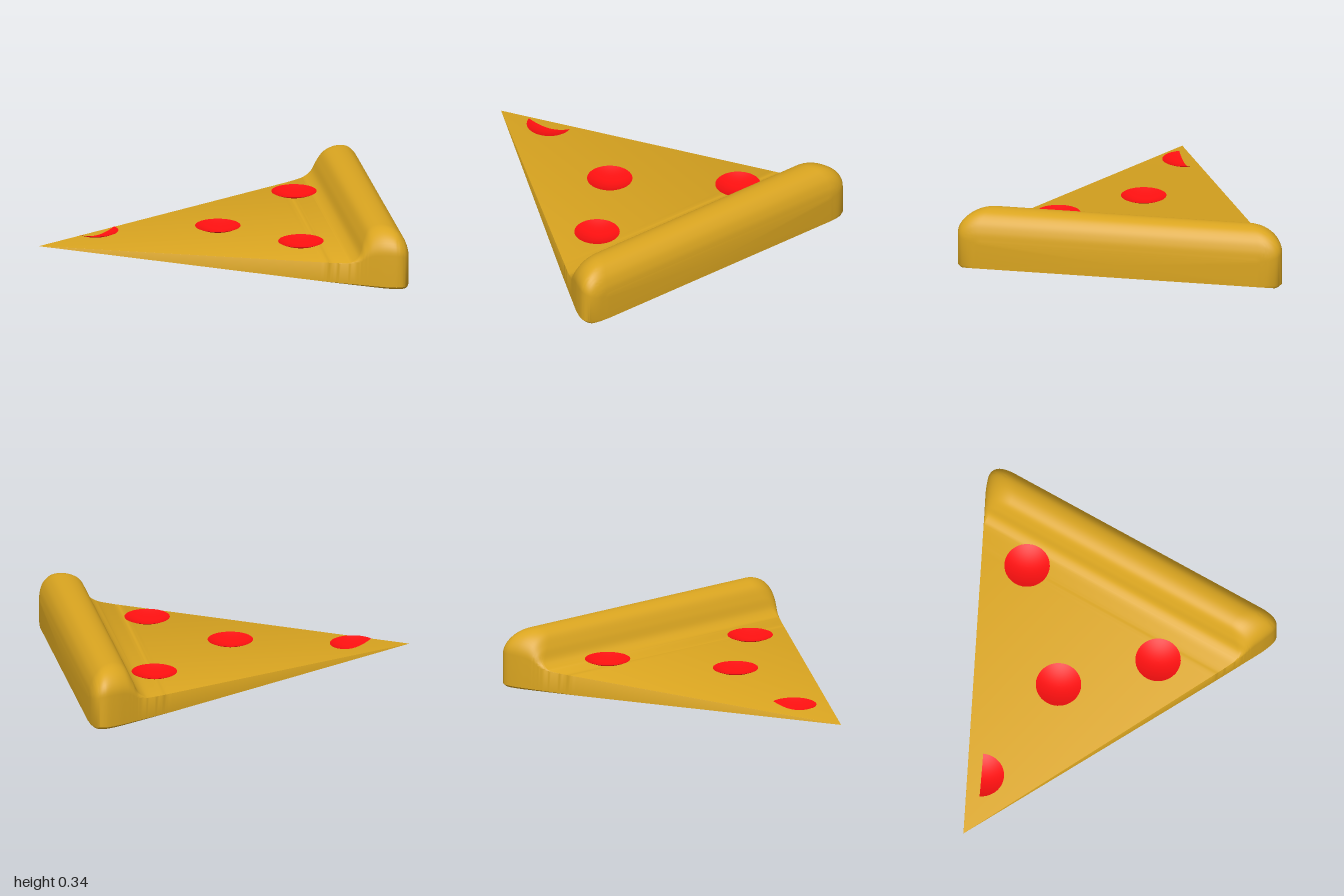
import * as THREE from 'three';
import { toCreasedNormals } from 'three/addons/utils/BufferGeometryUtils.js';

const topY = (x) => 0.075 + 0.0375 * (x + 1); // flat wedge top
const bottomY = (x) => 0.075 - 0.0375 * (x + 1) + Math.max(0, x - 0.97) * 0.4;

// Cross-section at x: small bevel below, elliptical corners above
function section({ x, y: top, z: w }) {
  const b = bottomY(x), bevel = 0.015 * THREE.MathUtils.clamp((x - 0.5) / 0.5, 0, 1);
  const ry = 0.7 * Math.max(0, top - topY(x)), rz = 1.3 * ry;
  const half = [[w - bevel, b], [w, b + bevel]];
  const n = 12;
  for (let k = 0; k <= n; k++) {
    const a = (k / n) * Math.PI / 2;
    half.push([w - rz + rz * Math.cos(a), top - ry + ry * Math.sin(a)]);
  }
  const right = half.map(([z, y]) => [x, y, -z]);
  const left = half.map(([z, y]) => [x, y, z]).reverse();
  return [...right, ...left];
}

function sliceGeometry() {
  // Stations: x, top height, half width
  const stations = [
    [0.5, topY(0.5), 0.75], [0.6, 0.136, 0.8], [0.67, 0.147, 0.835], [0.715, 0.18, 0.857],
    [0.745, 0.25, 0.872], [0.785, 0.315, 0.892], [0.85, 0.34, 0.922], [0.92, 0.327, 0.942],
    [0.965, 0.285, 0.928], [0.99, 0.23, 0.885], [1, 0.17, 0.81],
  ].map((p) => new THREE.Vector3(...p));
  const path = [new THREE.Vector3(-1, 0.076, 0.001), ...new THREE.CatmullRomCurve3(stations).getPoints(60)];
  const rings = path.map(section);
  const m = rings[0].length, positions = rings.flat(2), index = [];
  for (let i = 0; i < rings.length - 1; i++) {
    for (let j = 0; j < m; j++) {
      const a = i * m + j, b = i * m + (j + 1) % m;
      index.push(a, b, a + m, b, b + m, a + m);
    }
  }
  // Back face
  const last = (rings.length - 1) * m, centre = rings.length * m;
  positions.push(1, 0.09, 0);
  for (let j = 0; j < m; j++) index.push(centre, last + j, last + (j + 1) % m);

  const geo = new THREE.BufferGeometry();
  geo.setAttribute('position', new THREE.Float32BufferAttribute(positions, 3));
  geo.setIndex(index);
  return toCreasedNormals(geo, 0.7);
}

// Shallow cupped disc, optionally only part of a turn
function cupGeometry(start = 0, length = Math.PI * 2) {
  const r = 0.13, d = 0.032, profile = [];
  for (let i = 0; i <= 10; i++) {
    const t = i / 10;
    profile.push(new THREE.Vector2(r * t, d * t * t));
  }
  return new THREE.LatheGeometry(profile, 40, start, length);
}

export function createModel() {
  const group = new THREE.Group();
  const dough = new THREE.MeshStandardMaterial({ color: 0xdaa520 });
  const red = new THREE.MeshStandardMaterial({ color: 0xff1010, side: THREE.DoubleSide });

  const slice = new THREE.Mesh(sliceGeometry(), dough);
  slice.name = 'sliceWithCrust';
  group.add(slice);

  // Toppings: x, z, cut in half
  const toppings = [[0.03, 0.03], [0.56, -0.485], [0.44, 0.45], [-0.66, -0.08, true]];
  toppings.forEach(([x, z, cut], i) => {
    const geo = cut ? cupGeometry(0.446 - Math.PI / 2, Math.PI) : cupGeometry();
    const cup = new THREE.Mesh(geo, red);
    cup.name = cut ? 'halfPepperoni' : `pepperoni${i + 1}`;
    cup.position.set(x, topY(x) + 0.009, z);
    group.add(cup);
  });
  return group;
}
